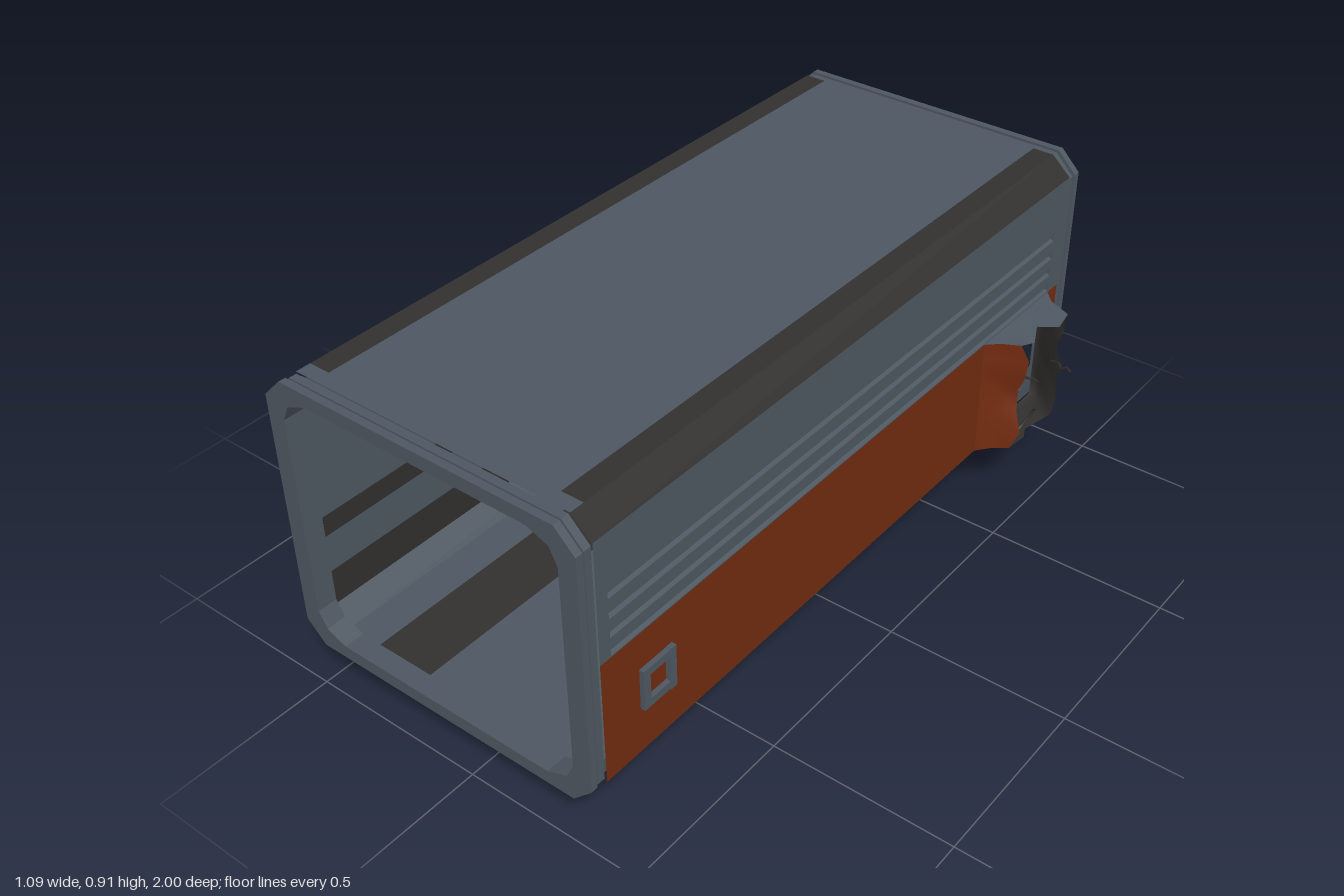
import * as THREE from 'three';
import { mergeVertices } from 'three/addons/utils/BufferGeometryUtils.js';

const CX = -0.075, CY = 0.525, Z = 0.95, IN = 0.965;

export function createModel() {
  const root = new THREE.Group();
  const mat = (name, color) => {
    const m = new THREE.MeshStandardMaterial({ color });
    m.name = name;
    return m;
  };
  const steel = mat('blue grey steel', 0x4e5862);
  const dark = mat('worn dark metal', 0x33312f);
  const rust = mat('rust orange paint', 0x732b10);

  const add = (name, geo, material) => {
    const mesh = new THREE.Mesh(geo, material);
    mesh.name = name;
    root.add(mesh);
    return mesh;
  };

  // Mesh made of a list of four-cornered faces
  const patch = (name, material, quads, smooth = false) => {
    const pos = [];
    for (const [a, b, c, d] of quads) pos.push(...a, ...b, ...c, ...a, ...c, ...d);
    let g = new THREE.BufferGeometry();
    g.setAttribute('position', new THREE.Float32BufferAttribute(pos, 3));
    if (smooth) g = mergeVertices(g);
    g.computeVertexNormals();
    return add(name, g, material);
  };

  // Section line [x, y], anticlockwise from the front, drawn along z
  const strip = (name, material, pts, z0 = -Z, z1 = Z, inside = false) => {
    const quads = [];
    for (let i = 0; i + 1 < pts.length; i++) {
      const [p, q] = inside ? [pts[i + 1], pts[i]] : [pts[i], pts[i + 1]];
      quads.push([[...p, z1], [...p, z0], [...q, z0], [...q, z1]]);
    }
    patch(name, material, quads);
  };
  const mirror = pts => pts.map(([x, y]) => [2 * CX - x, y]).reverse();
  const shrink = pts => pts.map(([x, y]) => [CX + (x - CX) * IN, CY + (y - CY) * IN]);
  const both = (name, material, pts, z0, z1) => {
    strip('left' + name, material, pts, z0, z1);
    strip('right' + name, material, mirror(pts), z0, z1);
  };

  // Outer shell: chamfers, roof and its worn borders
  both('LowerChamfer', dark, [[0.325, 0.14], [0.38, 0.185]]);
  both('UpperChamfer', dark, [[0.38, 0.86], [0.325, 0.91]]);
  both('RoofBorder', dark, [[0.325, 0.91], [0.265, 0.91]], -Z, 0.91);
  both('RoofCorner', steel, [[0.325, 0.91], [0.265, 0.91]], 0.91, Z);
  strip('roof', steel, [[0.265, 0.91], [-0.415, 0.91]]);

  // Upper side walls with four recessed grooves
  const grooved = [[0.38, 0.53]];
  for (const y of [0.533, 0.583, 0.635, 0.69])
    grooved.push([0.38, y], [0.37, y + 0.004], [0.37, y + 0.023], [0.38, y + 0.027]);
  grooved.push([0.38, 0.86]);
  both('GroovedWall', steel, grooved, -0.9, 0.915);
  const plain = [[0.38, 0.53], [0.38, 0.86]];
  both('WallBackEnd', steel, plain, -Z, -0.9);
  both('WallFrontEnd', steel, plain, 0.915, Z);

  // Painted bands, the left one open at the tear
  const band = [[0.38, 0.185], [0.38, 0.53]];
  strip('leftPaintFront', rust, band, -0.57, Z);
  strip('leftPaintBack', rust, band, -Z, -0.9);
  strip('rightPaint', rust, mirror(band));

  // Inner lining
  const lining = (name, material, pts, z0, z1) => strip(name, material, shrink(pts), z0, z1, true);
  const low = [[0.325, 0.14], [0.38, 0.185]], high = [[0.38, 0.86], [0.325, 0.91]];
  lining('liningTop', steel, [[0.325, 0.91], [-0.475, 0.91]]);
  for (const pts of [low, high]) {
    lining('liningCornerLeft', steel, pts);
    lining('liningCornerRight', steel, mirror(pts));
  }
  lining('liningLeftUpper', steel, plain);
  lining('liningLeftFront', steel, band, -0.57, Z);
  lining('liningLeftBack', steel, band, -Z, -0.9);
  const levels = [0.86, 0.46, 0.4, 0.29, 0.185];
  for (let i = 0; i < 4; i++)
    lining('liningRight' + i, i % 2 ? dark : steel, [[-0.53, levels[i]], [-0.53, levels[i + 1]]]);

  // Floor and underside with an oval hole for the dent
  const floor = (name, material, x0, x1, y, up, hole) => {
    const s = new THREE.Shape([[x0, -Z], [x1, -Z], [x1, Z], [x0, Z]].map(p => new THREE.Vector2(...p)));
    if (hole) s.holes.push(new THREE.Path().absellipse(0.167, up ? 0.71 : -0.71, 0.092, 0.2, 0, Math.PI * 2));
    const g = new THREE.ShapeGeometry(s, 20);
    g.rotateX(up ? -Math.PI / 2 : Math.PI / 2);
    add(name, g, material).position.y = y;
  };
  const floorY = CY + (0.14 - CY) * IN;
  floor('underside', dark, -0.475, 0.325, 0.14, false, true);
  floor('floorRight', steel, -0.461, -0.36, floorY, true, false);
  floor('floorWornBand', dark, -0.36, -0.19, floorY, true, false);
  floor('floorLeft', steel, -0.19, 0.311, floorY, true, true);

  // End frames: outer rim, inset neck and collar
  const outline = (inset = 0) => {
    const c = 0.055, w = 0.455 - inset, h = 0.385 - inset;
    return [[w - c, -h], [w, c - h], [w, h - c], [w - c, h], [c - w, h], [-w, h - c], [-w, c - h], [c - w, -h]]
      .map(([x, y]) => new THREE.Vector2(CX + x, CY + y));
  };
  const opening = [];
  for (const [sx, sy] of [[1, 1], [-1, 1], [-1, -1], [1, -1]]) {
    const corner = [[0.405, 0.28], [0.383, 0.325], [0.325, 0.348]];
    if (sx * sy < 0) corner.reverse();
    for (const [x, y] of corner) opening.push(new THREE.Vector2(CX + sx * x, CY + sy * y));
  }
  for (const side of [1, -1])
    for (const [name, z, depth, inset] of [['Rim', 0.98, 0.02, 0], ['Neck', 0.945, 0.035, 0.01], ['Collar', 0.953, 0.02, 0.003]]) {
      const s = new THREE.Shape(outline(inset));
      s.holes.push(new THREE.Path(opening));
      const g = new THREE.ExtrudeGeometry(s, { depth, bevelEnabled: false });
      add((side > 0 ? 'front' : 'back') + name, g, steel).position.z = side > 0 ? z : -z - depth;
    }

  // Closed skin through a series of loops, with an outer and an inner face
  const skin = (name, loops, outer, inner) => {
    const buckets = new Map();
    const back = [];
    const n = loops[0].length;
    for (let k = 0; k + 1 < loops.length; k++)
      for (let i = 0; i < n; i++) {
        const j = (i + 1) % n;
        const q = [loops[k][i], loops[k][j], loops[k + 1][j], loops[k + 1][i]];
        const m = outer(i);
        if (!buckets.has(m)) buckets.set(m, []);
        buckets.get(m).push(q);
        back.push([q[3], q[2], q[1], q[0]]);
      }
    for (const [m, quads] of buckets) patch(name + 'Outside', m, quads, true);
    patch(name + 'Inside', inner, back, true);
  };

  // Torn opening with ragged lips bent outwards: [along z, along y, reach in x]
  const lip = [
    [1, 1, 0.455], [0.88, 0.7, 0.475], [0.95, 0.4, 0.472], [0.72, 0.05, 0.445], [0.85, -0.3, 0.452], [0.95, -0.65, 0.475],
    [1, -1, 0.45], [0.5, -0.92, 0.465], [0, -1, 0.44], [-0.5, -0.9, 0.465],
    [-1, -1, 0.46], [-0.9, -0.6, 0.475], [-1.05, -0.3, 0.46], [-0.8, 0, 0.49], [-0.95, 0.35, 0.455], [-0.85, 0.7, 0.475],
    [-1, 1, 0.475], [-0.5, 0.93, 0.48], [0, 1, 0.44], [0.5, 0.92, 0.465],
  ];
  const ends = (i, v) => (i % 10 <= 6 ? Math.sign(v) : v);
  const lipBase = lip.map(([u, v], i) => [
    0.38, 0.3575 + 0.1725 * (i % 10 >= 6 || i % 10 === 0 ? Math.sign(v) : v), -0.735 + 0.165 * ends(i, u)]);
  const lipRim = lip.map(([u, v, x]) => [x, 0.355 + 0.168 * v, -0.74 + 0.105 * u]);
  const lipMid = lipBase.map((b, i) => [0.41, b[1] + (lipRim[i][1] - b[1]) * 0.5, b[2] + (lipRim[i][2] - b[2]) * 0.55]);
  const lipRoot = lipBase.map(([, y, z]) => [0.36, y, z]);
  skin('tear', [lipRoot, lipBase, lipMid, lipRim],
    i => (i % 10 < 6 ? rust : i < 10 ? dark : steel), dark);

  // Pierced dent under the floor
  const ring = (y, cx, rx, rz, jag = 0) => Array.from({ length: 20 }, (_, i) => {
    const a = i / 20 * Math.PI * 2, k = 1 + jag * Math.sin(i * 2.4);
    return [cx + rx * k * Math.cos(a), y + jag * 0.02 * Math.cos(i * 3.1), -0.71 + rz * k * Math.sin(a)];
  });
  skin('dent', [
    ring(floorY, 0.167, 0.094, 0.203), ring(0.14, 0.167, 0.092, 0.2), ring(0.105, 0.163, 0.068, 0.165),
    ring(0.075, 0.162, 0.058, 0.14), ring(0.052, 0.175, 0.034, 0.09, 0.25),
  ], () => dark, dark);

  // Loose splinters at the broken edges
  const splinters = [
    [[0.45, 0.37, -0.83], [0.485, 0.385, -0.81], [0.5, 0.385, -0.79], [0.52, 0.4, -0.785], [0.54, 0.4, -0.77]],
    [[0.46, 0.42, -0.65], [0.48, 0.42, -0.655], [0.49, 0.408, -0.67], [0.505, 0.412, -0.66]],
    [[0.46, 0.24, -0.64], [0.47, 0.26, -0.66], [0.49, 0.31, -0.68], [0.495, 0.325, -0.66]],
    [[0.165, 0.055, -0.77], [0.168, 0.035, -0.775], [0.155, 0.022, -0.79], [0.153, 0.003, -0.785]],
  ];
  for (const pts of splinters) {
    const curve = new THREE.CatmullRomCurve3(pts.map(p => new THREE.Vector3(...p)));
    add('splinter', new THREE.TubeGeometry(curve, 10, 0.004, 5), dark);
  }

  // Plain square bracket on each side
  for (const x of [0.384, 2 * CX - 0.384])
    for (const [y, z, h, d] of [[0.418, 0.775, 0.022, 0.11], [0.325, 0.775, 0.022, 0.11], [0.37, 0.819, 0.1, 0.022], [0.37, 0.731, 0.12, 0.022]])
      add('sideBracket', new THREE.BoxGeometry(0.018, h, d), steel).position.set(x, y, z);

  return root;
}
